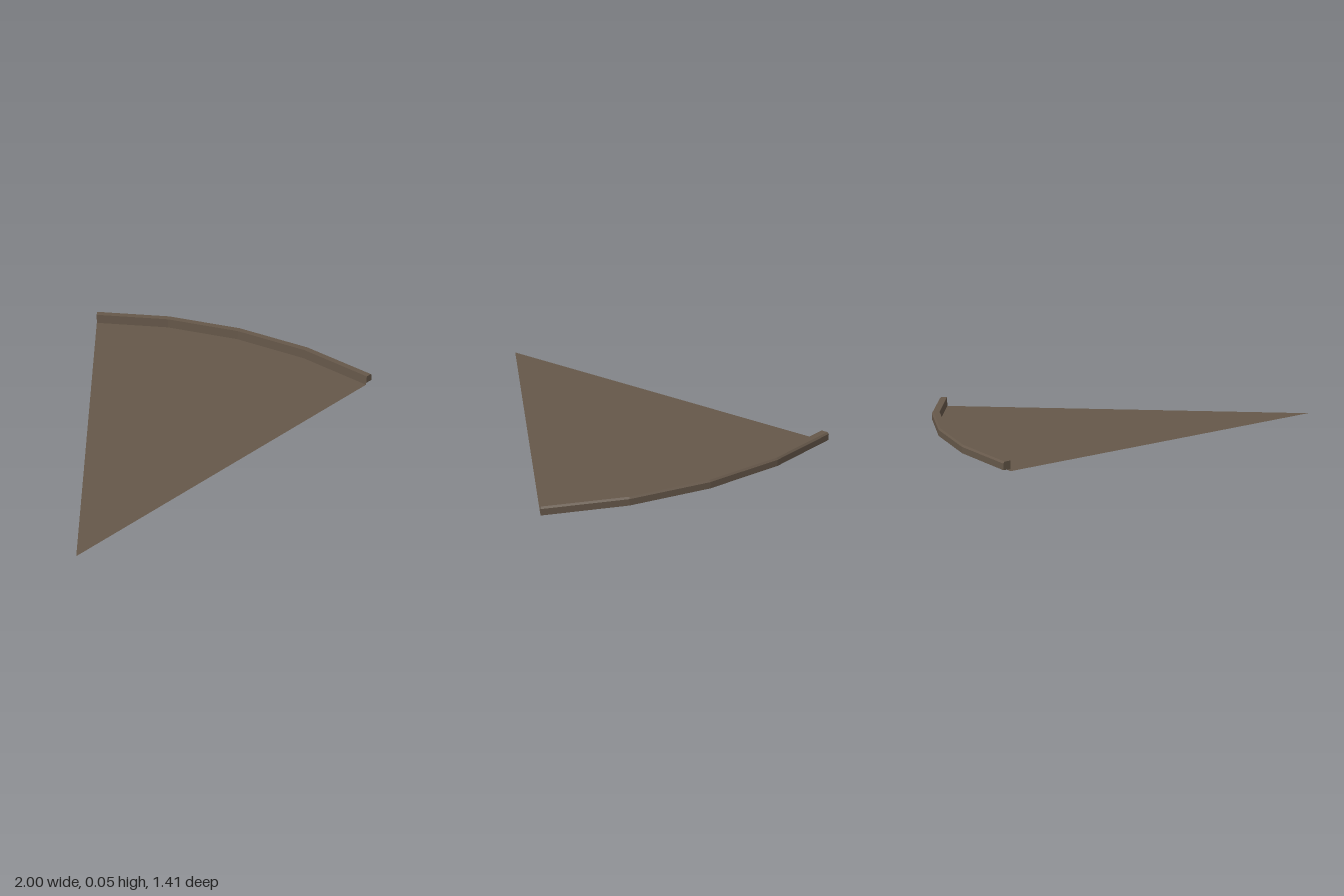
import * as THREE from 'three';

const SWEEP = Math.PI / 4, SEGMENTS = 4;
const INNER = 1.96, OUTER = 2, HEIGHT = 0.05, STEP = 0.011;

export function createModel() {
  const model = new THREE.Group();
  model.name = 'wedgePlate';
  const brown = new THREE.MeshStandardMaterial({ color: 0x66584a, flatShading: true, side: THREE.DoubleSide });
  brown.name = 'brown';

  // everything turns about the wedge's sharp corner
  const add = (name, geometry) => {
    const mesh = new THREE.Mesh(geometry, brown);
    mesh.name = name;
    mesh.position.set(-1, 0, 0.707);
    model.add(mesh);
  };

  // thin floor sheet, an eighth of a disc
  add('floor', new THREE.CircleGeometry(INNER, SEGMENTS, 0, SWEEP).rotateX(-Math.PI / 2));

  // raised rim: stepped underside, small bevel on the top outer edge
  const section = [
    [INNER, STEP], [OUTER, STEP], [OUTER, 0.042], [OUTER - 0.008, HEIGHT], [INNER, HEIGHT],
  ].map(([r, y]) => new THREE.Vector2(r, y));
  const foot = new THREE.Vector2(INNER, 0);
  add('rim', new THREE.LatheGeometry([...section, foot], SEGMENTS, Math.PI / 2, SWEEP));

  // flat caps closing both rim ends
  const cap = new THREE.Shape(section);
  add('frontRimCap', new THREE.ShapeGeometry(cap));
  add('backRimCap', new THREE.ShapeGeometry(cap).rotateY(SWEEP));

  return model;
}
